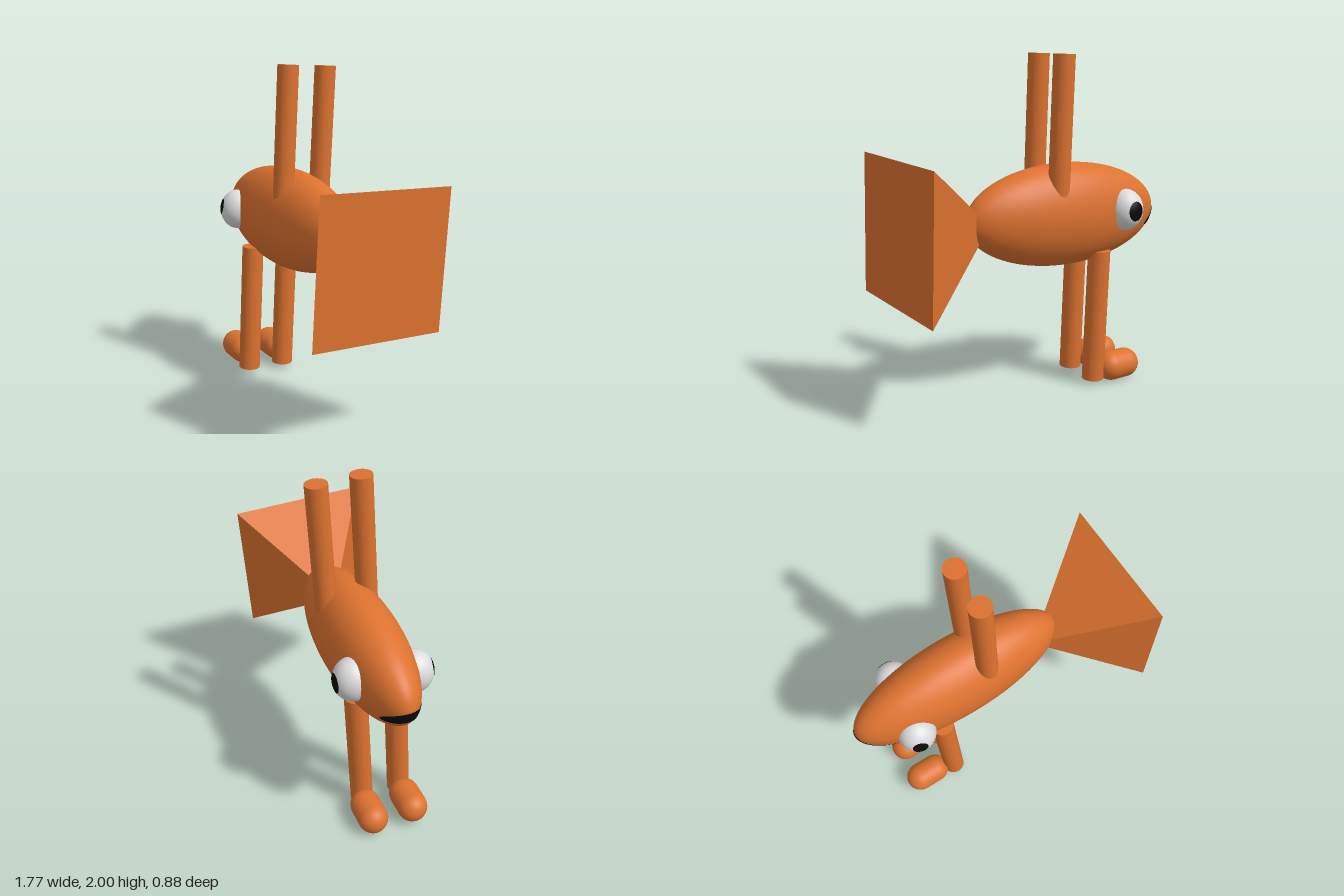
import * as THREE from 'three';

const orange = new THREE.MeshStandardMaterial({ name: 'orange', color: 0xdd7230 });
const white = new THREE.MeshStandardMaterial({ name: 'white', color: 0xdcdcdc });
const black = new THREE.MeshStandardMaterial({ name: 'black', color: 0x0a0a0a, side: THREE.DoubleSide });

// Body half sizes: length, height, width
const A = 0.67, B = 0.305, C = 0.216;

export function createModel() {
  const model = new THREE.Group();
  model.name = 'walkingFish';
  // The fish swims towards -x, slightly turned and tilted
  const fish = new THREE.Group();
  fish.name = 'fish';
  fish.position.set(-0.215, 1.075, -0.135);
  fish.rotation.set(-0.048, -0.1, 0);
  model.add(fish);

  const add = (name, geometry, material, x = 0, y = 0, z = 0) => {
    const mesh = new THREE.Mesh(geometry, material);
    mesh.name = name;
    mesh.position.set(x, y, z);
    fish.add(mesh);
    return mesh;
  };
  const post = (name, radius, x, z, y0, y1) =>
    add(name, new THREE.CylinderGeometry(radius, radius, y1 - y0, 32), orange, x, (y0 + y1) / 2, z);

  add('body', new THREE.SphereGeometry(1, 64, 40).rotateZ(Math.PI / 2).scale(A, B, C), orange);

  // Tail: flat-sided pyramid with its tip inside the body
  const tail = new THREE.ConeGeometry(0.563, 0.575, 4).rotateY(Math.PI / 4).rotateZ(Math.PI / 2).toNonIndexed();
  tail.computeVertexNormals();
  add('tail', tail, orange, 0.778, -0.037, 0.05);

  // Posts on the back
  post('leftBackPost', 0.062, 0.14, 0.119, 0.1, 0.922);
  post('rightBackPost', 0.062, 0.145, -0.125, 0.1, 0.922);

  // Legs and capsule feet
  post('leftLeg', 0.067, -0.202, 0.132, -1.035, -0.22);
  post('rightLeg', 0.067, -0.193, -0.106, -1.035, -0.22);
  const foot = new THREE.CapsuleGeometry(0.09, 0.11, 12, 32).rotateZ(Math.PI / 2);
  add('leftFoot', foot, orange, -0.39, -0.966, 0.113);
  add('rightFoot', foot, orange, -0.369, -0.972, -0.13);

  // Eyes with pupils as thin caps
  const eye = (side, x, y, z, direction, angle) => {
    add(side + 'Eye', new THREE.SphereGeometry(1, 32, 24).scale(0.11, 0.125, 0.11), white, x, y, z);
    const turn = new THREE.Quaternion().setFromUnitVectors(new THREE.Vector3(0, 1, 0), direction.normalize());
    const cap = new THREE.SphereGeometry(1.015, 24, 6, 0, Math.PI * 2, 0, angle);
    add(side + 'Pupil', cap.applyQuaternion(turn).scale(0.11, 0.125, 0.11), black, x, y, z);
  };
  eye('left', -0.365, -0.008, 0.165, new THREE.Vector3(-0.3, 0.16, 1), 0.41);
  eye('right', -0.325, 0.025, -0.165, new THREE.Vector3(0, 0.05, -1), 0.48);

  // Mouth: curved band laid over the nose
  const mouth = new THREE.PlaneGeometry(1, 1, 32, 6);
  const p = mouth.attributes.position;
  for (let i = 0; i < p.count; i++) {
    const z = THREE.MathUtils.lerp(-0.115, 0.138, p.getX(i) + 0.5);
    const halfHeight = 0.036 * Math.pow(1 - Math.pow(Math.abs(2 * p.getX(i)), 6), 0.5);
    const y = -0.03 - 4 * z * z + p.getY(i) * 2 * halfHeight;
    const x = -A * Math.sqrt(1 - (y / B) ** 2 - (z / C) ** 2);
    p.setXYZ(i, x * 1.007, y * 1.007, z * 1.007);
  }
  mouth.computeVertexNormals();
  add('mouth', mouth, black);

  return model;
}
